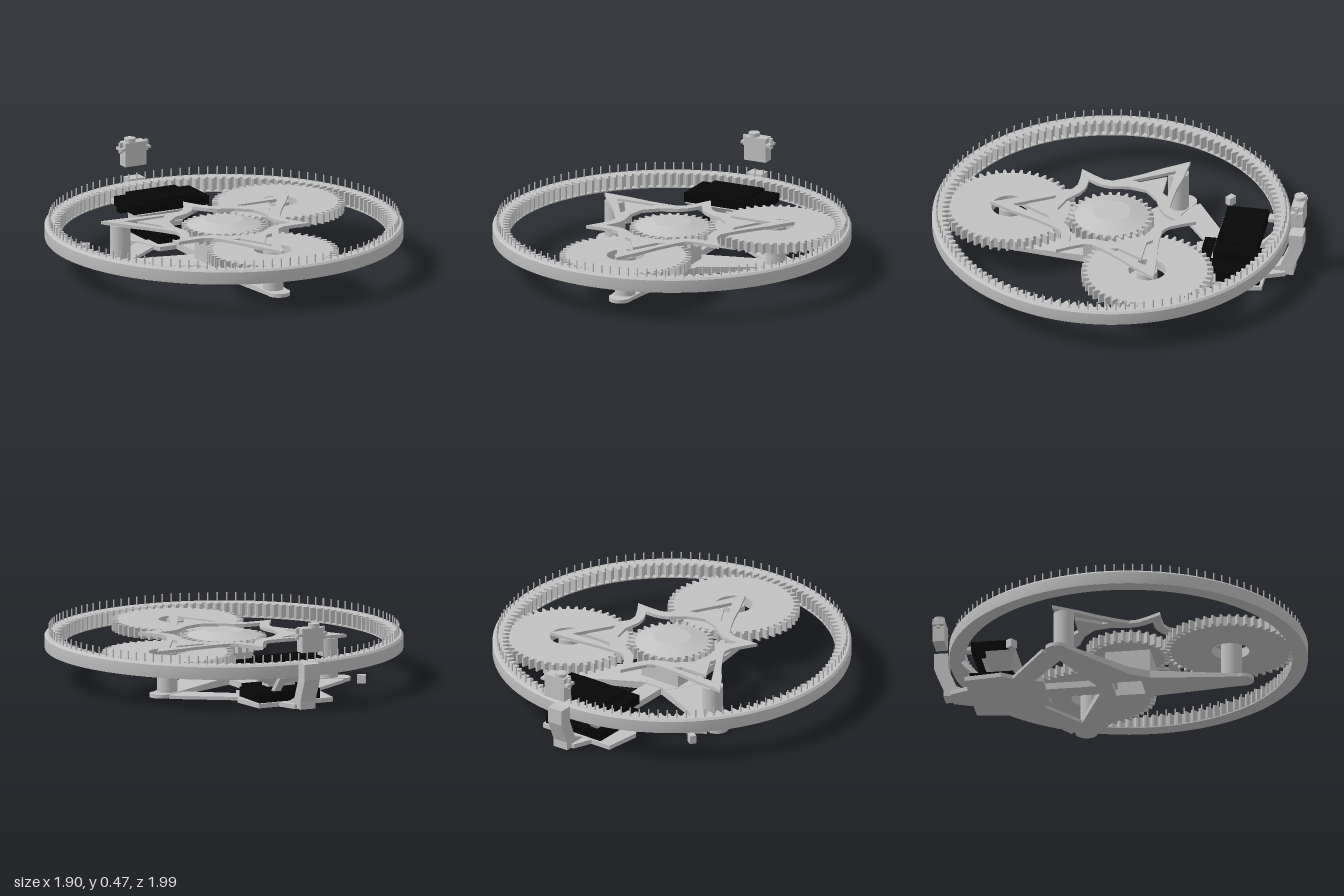
import * as THREE from 'three';
import { toCreasedNormals } from 'three/addons/utils/BufferGeometryUtils.js';

const CZ = 0.045; // gear train axis
const TAU = Math.PI * 2;

export function createModel() {
  const model = new THREE.Group();
  model.name = 'planetaryGearAssembly';
  const grey = new THREE.MeshStandardMaterial({ color: 0xc2c2c2 });
  grey.name = 'light grey';
  const black = new THREE.MeshStandardMaterial({ color: 0x060606 });
  black.name = 'black';

  const add = (name, geometry, material = grey, x = 0, y = 0, z = 0) => {
    const mesh = new THREE.Mesh(geometry, material);
    mesh.name = name;
    mesh.position.set(x, y, z);
    model.add(mesh);
    return mesh;
  };
  const box = (name, x0, x1, y0, y1, z0, z1, material) => add(name,
    new THREE.BoxGeometry(x1 - x0, y1 - y0, z1 - z0), material,
    (x0 + x1) / 2, (y0 + y1) / 2, (z0 + z1) / 2);
  const post = (name, r, y0, y1, x, z) => add(name,
    new THREE.CylinderGeometry(r, r, y1 - y0, 32), grey, x, (y0 + y1) / 2, z);
  // Horizontal plate from [x, z] outlines, always wound the same way
  const toVec = (pts) => {
    const v = pts.map(([x, z]) => new THREE.Vector2(x, -z));
    return THREE.ShapeUtils.isClockWise(v) ? v.reverse() : v;
  };
  const plate = (pts, y0, y1, holes = []) => {
    const shape = new THREE.Shape(toVec(pts));
    for (const h of holes) shape.holes.push(new THREE.Path(toVec(h).reverse()));
    const g = new THREE.ExtrudeGeometry(shape, { depth: y1 - y0, bevelEnabled: false });
    return g.rotateX(-Math.PI / 2).translate(0, y0, 0);
  };
  const circle = (r, n = 48) => Array.from({ length: n }, (_, i) =>
    [r * Math.cos(i / n * TAU), r * Math.sin(i / n * TAU)]);
  const rect = (x, z) => [[-x, -z], [x, -z], [x, z], [-x, z]];
  // Trapezoidal teeth between a root and a tip radius
  const toothed = (n, root, tip, wide = 0.28) => {
    const pts = [];
    for (let i = 0; i < n; i++) {
      for (const [f, r] of [[-wide, root], [-0.12, tip], [0.12, tip], [wide, root]]) {
        const a = (i + f) / n * TAU;
        pts.push([r * Math.cos(a), r * Math.sin(a)]);
      }
    }
    return pts;
  };

  // Outer ring gear with a chamfered band, bottom lip and upright pins
  add('ringGear', plate(circle(0.94, 128), 0.18, 0.25, [toothed(126, 0.898, 0.864, 0.4)]), grey, 0, 0, CZ);
  add('ringLip', plate(circle(0.949, 128), 0.175, 0.181, [circle(0.866, 128)]), grey, 0, 0, CZ);
  const band = new THREE.LatheGeometry([[0.949, 0.176], [0.95, 0.18], [0.95, 0.242], [0.94, 0.253],
    [0.9, 0.253]].map(([r, y]) => new THREE.Vector2(r, y)), 128);
  add('ringBand', toCreasedNormals(band, 0.4), grey, 0, 0, CZ);
  const pinGeometry = new THREE.CylinderGeometry(0.004, 0.004, 0.052, 6);
  for (let i = 0; i < 117; i++) {
    const a = i / 117 * TAU;
    add('ringPin', pinGeometry, grey, 0.925 * Math.sin(a), 0.273, CZ + 0.925 * Math.cos(a));
  }

  // Planet gears
  const planetGeometry = plate(toothed(48, 0.318, 0.35), 0.183, 0.237, [circle(0.1)]);
  add('frontPlanetGear', planetGeometry, grey, 0, 0, 0.59);
  add('leftPlanetGear', planetGeometry, grey, 0.475, 0, -0.232);

  // Sun gear and its shallow cap
  add('sunGear', plate(toothed(30, 0.194, 0.224), 0.18, 0.242), grey, 0, 0, CZ);
  add('sunCap', new THREE.CylinderGeometry(0.1, 0.195, 0.028, 48), grey, 0, 0.256, CZ);

  // Three-armed carrier: outline and cut-outs repeat every 120 degrees
  const polar = (deg, r) => {
    const a = deg * Math.PI / 180;
    return [r * Math.sin(a), r * Math.cos(a)];
  };
  const spin = (third) => {
    const pts = [];
    for (let k = 0; k < 3; k++) for (const [d, r] of third) pts.push(polar(d + k * 120, r));
    return pts;
  };
  const outline = spin([[0, 0.65], [8, 0.51], [16, 0.415], [28, 0.345], [39, 0.315], [47, 0.33], [54, 0.38],
    [60, 0.455], [66, 0.38], [73, 0.33], [81, 0.315], [92, 0.345], [104, 0.415], [112, 0.51]]);
  const centre = spin([[0, 0.29], [20, 0.275], [40, 0.26], [50, 0.28], [55, 0.305], [60, 0.35], [65, 0.305],
    [70, 0.28], [80, 0.26], [100, 0.275]]);
  const carrierHoles = [centre];
  for (let k = 0; k < 3; k++) {
    const a = k * TAU / 3;
    carrierHoles.push([[0, 0.53], [0.12, 0.315], [0.08, 0.325], [0, 0.46], [-0.08, 0.325], [-0.12, 0.315]]
      .map(([v, u]) => [u * Math.sin(a) + v * Math.cos(a), u * Math.cos(a) - v * Math.sin(a)]));
  }
  add('carrierFrame', plate(outline, 0.235, 0.253, carrierHoles), grey, 0, 0, CZ);

  // Base: sloping arms and gear posts
  for (let k = 0; k < 3; k++) {
    const side = ['front', 'left', 'right'][k];
    const g = new THREE.BoxGeometry(1, 1, 1);
    const p = g.attributes.position;
    for (let i = 0; i < p.count; i++) {
      const tip = p.getZ(i) > 0;
      const top = p.getY(i) > 0;
      p.setXYZ(i, Math.sign(p.getX(i)) * (tip ? 0.055 : 0.115), top ? (tip ? 0.022 : 0.047) : 0.004,
        tip ? 0.62 : 0.12);
    }
    g.computeVertexNormals();
    add(side + 'BaseArm', g, grey, 0, 0, CZ).rotation.y = k * TAU / 3;
    const [x, z] = polar(k * 120, 0.55);
    post(side + 'GearPost', 0.055, 0.015, 0.236, x, z + CZ);
    const [ex, ez] = polar(k * 120, 0.61);
    post(side + 'ArmEnd', 0.06, 0.004, 0.024, ex, ez + CZ);
  }

  // Hub with an open-bottomed motor housing
  const opening = rect(0.08, 0.08);
  add('baseHub', plate(circle(0.19, 6), 0.004, 0.046, [opening]), grey, 0, 0, CZ);
  add('motorHousing', plate(rect(0.12, 0.12), 0.04, 0.165, [opening]), grey, 0, 0, CZ + 0.012);
  box('housingLid', -0.12, 0.12, 0.155, 0.166, -0.06, 0.177);
  post('sunShaft', 0.05, 0.16, 0.19, 0, CZ);
  box('baseSpine', -0.05, 0.05, 0.004, 0.04, -0.45, -0.075);
  for (const s of [-1, 1]) {
    add('baseStrap', plate([[s * 0.52, -0.34], [s * 0.2, -0.55], [s * 0.13, -0.46], [s * 0.44, -0.23]],
      0.004, 0.022));
  }

  // Rear platform and lower battery
  add('rearPlatform', plate([[-0.15, -0.39], [0.15, -0.39], [0.19, -0.52], [0.245, -0.6], [0.22, -0.8],
    [0.1, -0.8], [0.06, -0.9], [-0.06, -0.9], [-0.1, -0.8], [-0.22, -0.8], [-0.245, -0.6], [-0.19, -0.52]],
  0.004, 0.028));
  box('lowerBattery', -0.15, 0.21, 0.028, 0.08, -0.785, -0.55, black);
  box('rightConnector', -0.135, -0.05, 0.03, 0.073, -0.56, -0.435, black);
  box('leftConnector', -0.035, 0.14, 0.03, 0.073, -0.56, -0.435, black);

  // Raised battery on a flared bracket with slanted struts
  box('upperBattery', -0.225, 0.225, 0.175, 0.225, -0.765, -0.54, black);
  box('upperBatteryCover', -0.155, 0.14, 0.225, 0.24, -0.765, -0.56, black);
  box('batteryTab', 0.15, 0.215, 0.18, 0.215, -0.79, -0.76, black);
  box('batteryFoot', -0.225, -0.18, 0.148, 0.178, -0.735, -0.69, black);
  box('batteryRearBlock', -0.225, -0.175, 0.178, 0.2, -0.81, -0.765);
  const flare = new THREE.CylinderGeometry(1, 0.45, 0.075, 4, 1).rotateY(Math.PI / 4);
  flare.scale(0.3, 1, 0.14);
  add('batteryBracket', toCreasedNormals(flare, 0.3), grey, 0, 0.138, -0.625);
  box('bracketStem', -0.08, 0.08, 0.075, 0.105, -0.63, -0.56);
  for (const x of [-0.09, 0.09]) {
    add('bracketStrut', new THREE.BoxGeometry(0.04, 0.15, 0.025), grey, x, 0.115, -0.775).rotation.x = -0.75;
  }

  // Rear mast: side profile extruded across x
  const profile = [[0.8, 0.005], [0.94, 0.005], [0.94, 0.05], [0.99, 0.17], [0.99, 0.255], [0.915, 0.255],
    [0.915, 0.17], [0.87, 0.06], [0.8, 0.028]].map(([z, y]) => new THREE.Vector2(z, y));
  const mast = new THREE.ExtrudeGeometry(new THREE.Shape(profile), { depth: 0.09, bevelEnabled: false });
  add('rearMast', mast.rotateY(Math.PI / 2).translate(-0.045, 0, 0));

  // Servo above the mast
  box('servoBody', -0.065, 0.062, 0.32, 0.45, -0.995, -0.932);
  box('servoFlange', -0.088, 0.088, 0.408, 0.422, -0.995, -0.932);
  for (const x of [-0.077, 0.077]) box('servoScrew', x - 0.008, x + 0.008, 0.392, 0.45, -0.971, -0.955);
  post('servoOutput', 0.03, 0.45, 0.47, -0.022, -0.964);

  // Small loose block
  add('looseBlock', new THREE.BoxGeometry(0.045, 0.045, 0.035), grey, -0.54, 0.05, -0.5).rotation.y = -0.6;

  return model;
}
